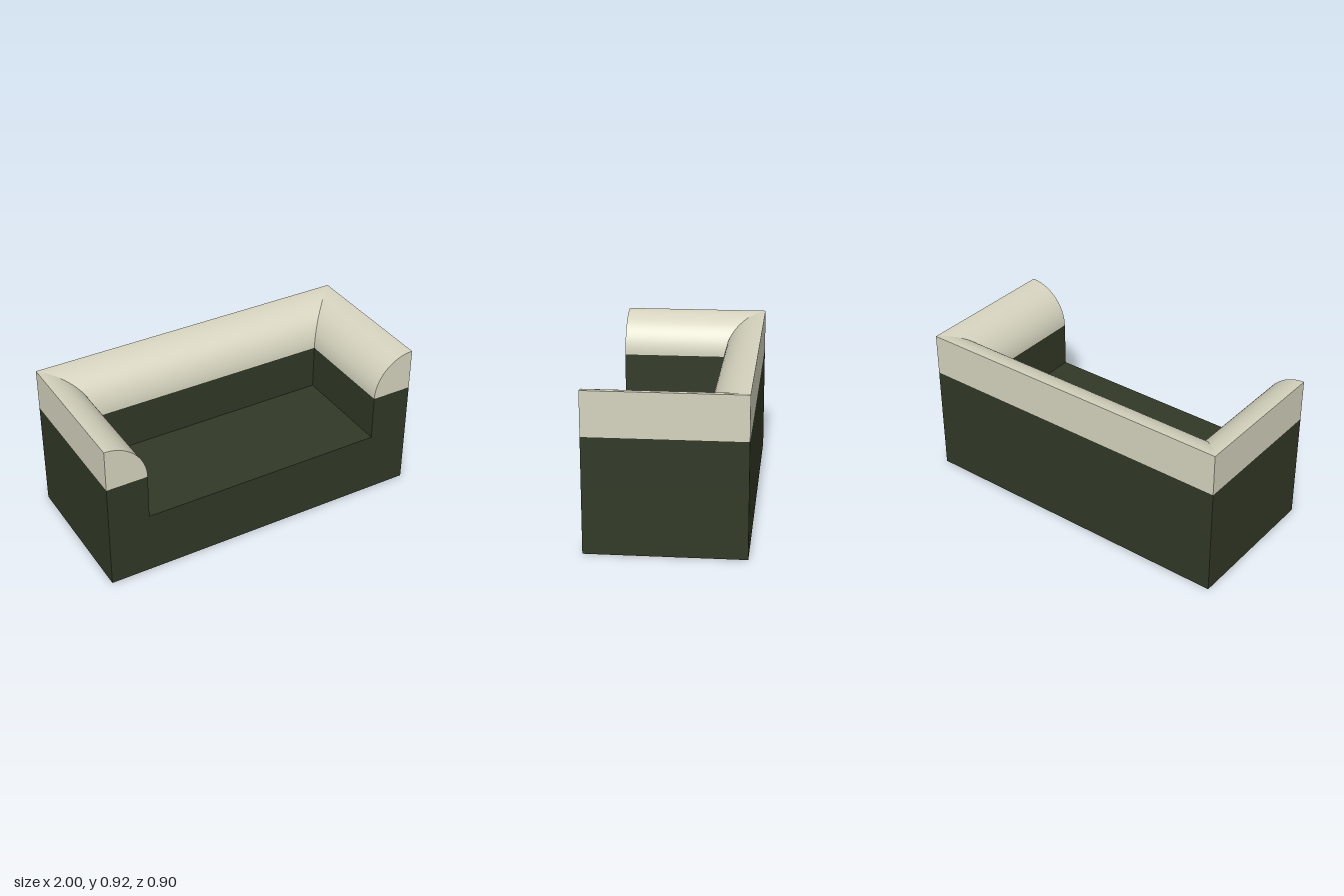
import * as THREE from 'three';

const W = 1, D = 0.45;              // half width and half depth
const SEAT = 0.385, WALL = 0.665, TOP = 0.92;
const T = 0.25;                     // thickness of arms and back

const green = new THREE.MeshStandardMaterial({ color: 0x313926 });
green.name = 'dark green';
const cream = new THREE.MeshStandardMaterial({ color: 0xd5d3be });
cream.name = 'cream';

function add(group, name, geometry, material) {
  const mesh = new THREE.Mesh(geometry, material);
  mesh.name = name;
  group.add(mesh);
}

function box(w, h, d, x, y, z) {
  return new THREE.BoxGeometry(w, h, d).translate(x, y, z);
}

// Plan corners of the U-shaped run, inset by d from the outer walls
function corners(d) {
  return [[W - d, D], [W - d, d - D], [d - W, d - D], [d - W, D]];
}

// One straight run of the mitred U, following a profile of [inset, height]
function run(profile, side) {
  const pos = [], idx = [];
  profile.forEach(([d, y], i) => {
    const c = corners(d);
    for (const [x, z] of [c[side], c[side + 1]]) pos.push(x, y, z);
    if (i) {
      const a = 2 * (i - 1);
      idx.push(a, a + 1, a + 2, a + 1, a + 3, a + 2);
    }
  });
  const g = new THREE.BufferGeometry();
  g.setAttribute('position', new THREE.Float32BufferAttribute(pos, 3));
  g.setIndex(idx);
  g.computeVertexNormals();
  return g;
}

export function createModel() {
  const sofa = new THREE.Group();
  sofa.name = 'sofa';

  // Seat block with a pale underside
  add(sofa, 'seatBase', box(2 * W, SEAT, 2 * D, 0, SEAT / 2, 0),
    [green, green, green, cream, green, green]);

  // Upright walls around the seat
  const h = WALL - SEAT, y = (WALL + SEAT) / 2;
  add(sofa, 'backWall', box(2 * (W - T), h, T, 0, y, T / 2 - D), green);
  for (const s of [1, -1]) {
    add(sofa, s > 0 ? 'leftArmWall' : 'rightArmWall',
      box(T, h, 2 * D, s * (W - T / 2), y, 0), green);
  }

  // Quarter-round padding, mitred at the back corners
  const arc = [];
  for (let i = 0; i <= 24; i++) {
    const a = (i / 24) * Math.PI / 2;
    arc.push([T * Math.sin(a), WALL + (TOP - WALL) * Math.cos(a)]);
  }
  ['leftArm', 'back', 'rightArm'].forEach((name, side) => {
    add(sofa, name + 'Padding', run(arc, side), cream);
    add(sofa, name + 'PaddingOuter', run([[0, WALL], [0, TOP]], side), cream);
  });

  // Front ends of the arm padding
  for (const s of [1, -1]) {
    const shape = new THREE.Shape();
    shape.moveTo(s * W, WALL);
    shape.lineTo(s * W, TOP);
    shape.absellipse(s * W, WALL, T, TOP - WALL, Math.PI / 2, s > 0 ? Math.PI : 0, s < 0);
    add(sofa, s > 0 ? 'leftArmEnd' : 'rightArmEnd',
      new THREE.ShapeGeometry(shape, 24).translate(0, 0, D), cream);
  }
  return sofa;
}
